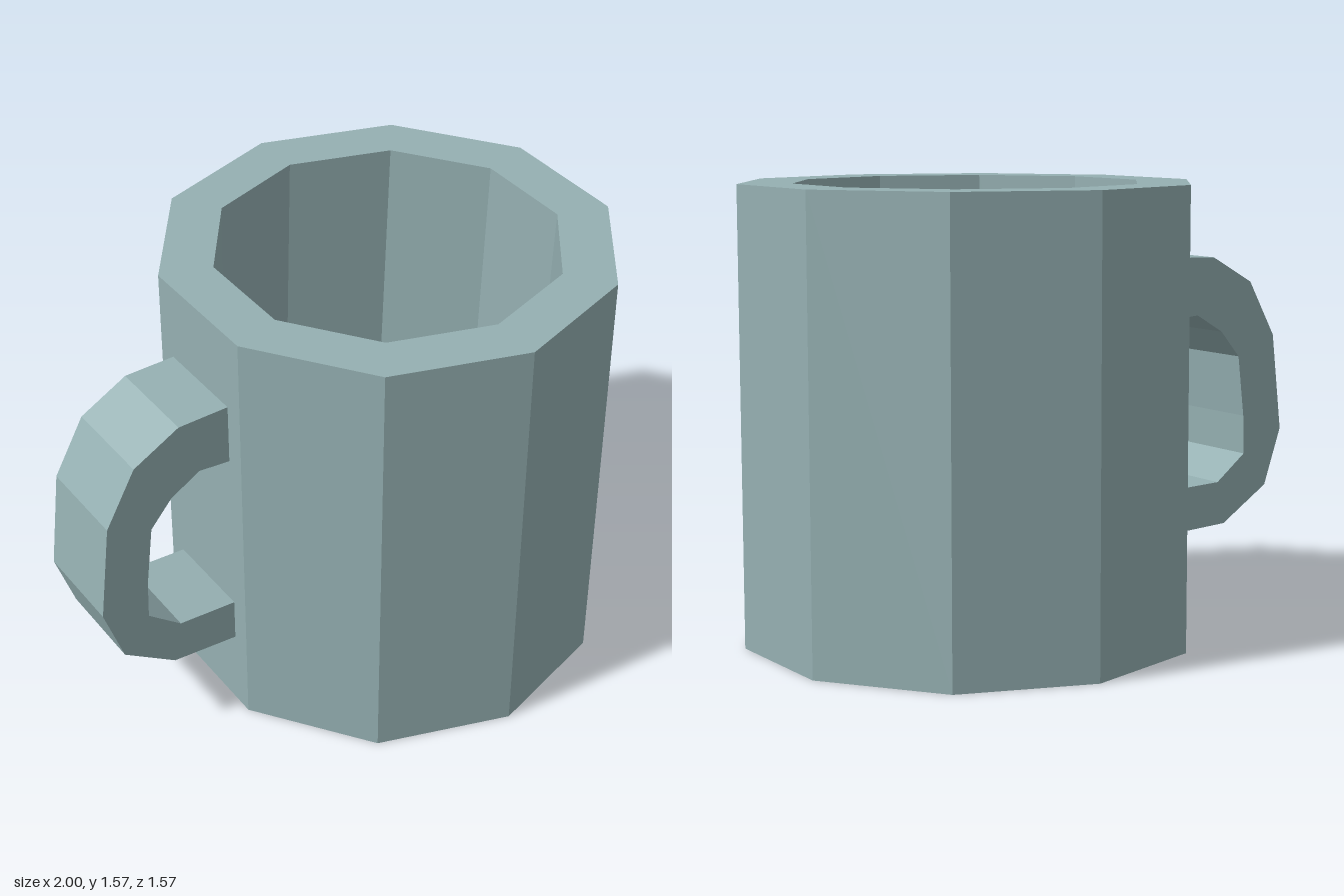
import * as THREE from 'three';

const HEIGHT = 1.57, OUTER = 0.785, INNER = 0.6, FLOOR = 0.19;

export function createModel() {
  const mug = new THREE.Group();
  mug.name = 'mug';
  const material = new THREE.MeshStandardMaterial({ color: 0x95b0b2, flatShading: true });

  // Ten-sided cup: base, outer wall, rim, cavity wall and floor in one profile
  const profile = [
    [0, 0], [OUTER, 0], [OUTER, HEIGHT], [INNER, HEIGHT], [INNER, FLOOR], [0, FLOOR],
  ].map(([r, y]) => new THREE.Vector2(r, y));
  const cupGeometry = new THREE.LatheGeometry(profile, 10);

  // The cavity leans slightly backwards towards its floor
  const position = cupGeometry.attributes.position;
  for (let i = 0; i < position.count; i++) {
    if (Math.abs(position.getY(i) - FLOOR) < 1e-4) position.setZ(i, position.getZ(i) - 0.055);
  }
  const cup = new THREE.Mesh(cupGeometry, material);
  cup.name = 'cup';
  cup.position.x = 0.25;
  mug.add(cup);

  // Handle: faceted loop outline extruded across the mug's side
  const outline = [
    [-0.49, 1.29], [-0.68, 1.285], [-0.85, 1.19], [-0.96, 0.99],
    [-1, 0.64], [-0.93, 0.435], [-0.74, 0.31], [-0.49, 0.295],
    [-0.49, 0.455], [-0.71, 0.465], [-0.83, 0.56], [-0.826, 0.7],
    [-0.8, 0.92], [-0.72, 1.015], [-0.61, 1.08], [-0.49, 1.07],
  ].map(([x, y]) => new THREE.Vector2(x, y));
  const handleGeometry = new THREE.ExtrudeGeometry(new THREE.Shape(outline), {
    depth: 0.34, bevelEnabled: false,
  });
  handleGeometry.translate(0, 0, -0.17);
  const handle = new THREE.Mesh(handleGeometry, material);
  handle.name = 'handle';
  mug.add(handle);

  return mug;
}
